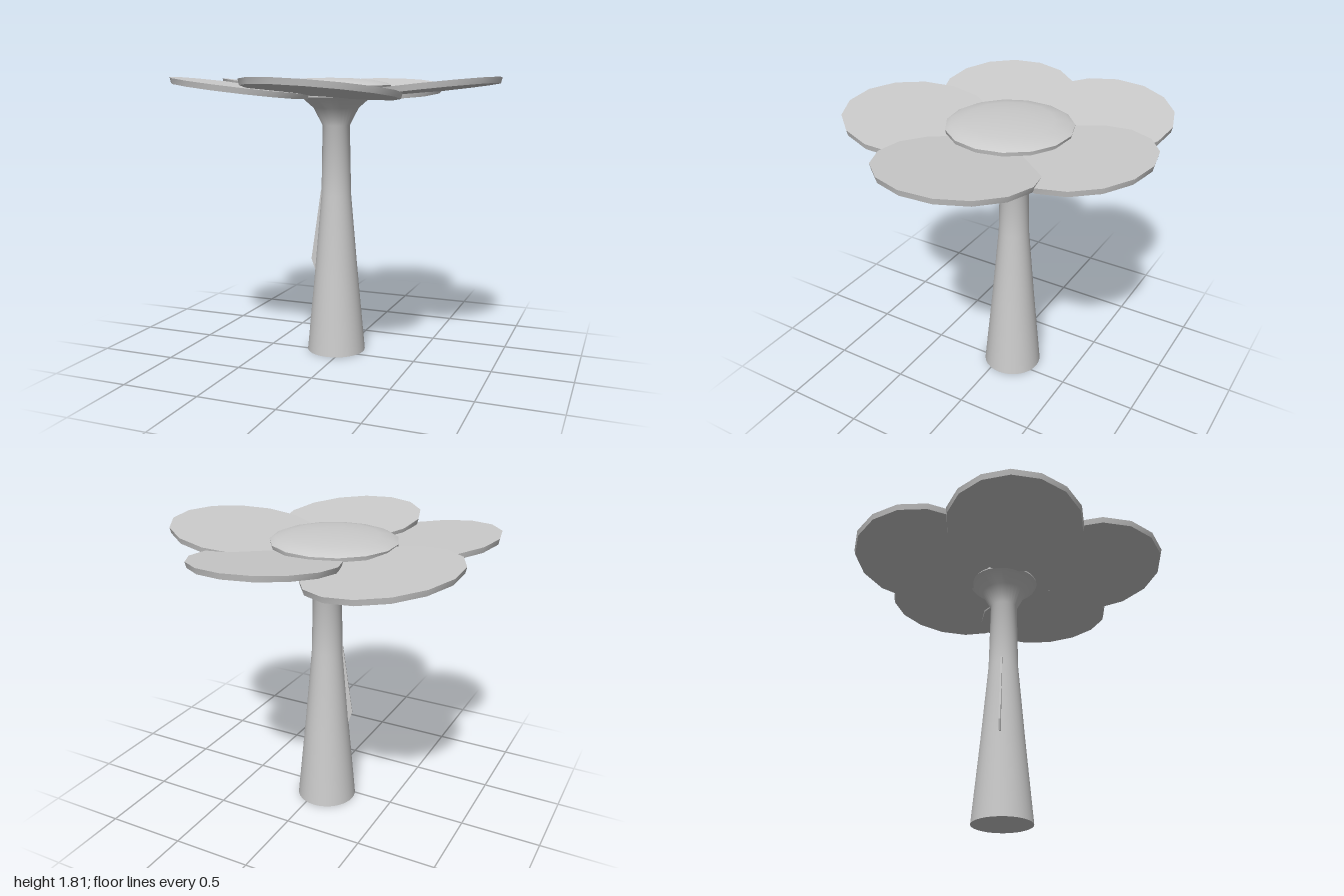
import * as THREE from 'three';
import { toCreasedNormals } from 'three/addons/utils/BufferGeometryUtils.js';

const material = new THREE.MeshStandardMaterial({ color: 0xcccccc });

function part(name, geometry, x, y, z) {
  const mesh = new THREE.Mesh(geometry, material);
  mesh.name = name;
  mesh.position.set(x, y, z);
  return mesh;
}

function lathe(profile, sides) {
  const points = profile.map(([r, y]) => new THREE.Vector2(r, y));
  return toCreasedNormals(new THREE.LatheGeometry(points, sides).rotateY(Math.PI / 2), 0.7);
}

// Thin 15-sided disc whose top passes through y = 0 with slopes sx and sz
function petalGeometry(radius, sx, sz, angle) {
  const thickness = 0.035;
  const g = new THREE.CylinderGeometry(radius, radius - 0.008, thickness, 15);
  g.rotateY(Math.PI / 2 - angle).translate(0, -thickness / 2, 0);
  const p = g.attributes.position;
  for (let i = 0; i < p.count; i++) {
    p.setY(i, p.getY(i) + sx * p.getX(i) + sz * p.getZ(i));
  }
  return toCreasedNormals(g, 0.7);
}

export function createModel() {
  const group = new THREE.Group();
  group.name = 'flowerTable';

  // Tapered stem with a flared collar below the petals
  group.add(part('stem', lathe([
    [0, 0], [0.192, 0], [0.14, 0.55], [0.097, 1.05], [0.088, 1.5],
    [0.145, 1.61], [0.225, 1.68], [0.225, 1.7], [0, 1.7],
  ], 32), -0.06, 0, -0.07));

  // Slim leaf-like ridge on the side of the stem
  const outline = new THREE.Shape([[0.1, 0.52], [0.142, 0.55], [0.165, 0.62], [0.1, 1.08], [0.08, 1.08]]
    .map(([r, y]) => new THREE.Vector2(r, y)));
  const ridge = new THREE.ExtrudeGeometry(outline, { depth: 0.012, bevelEnabled: false });
  ridge.translate(0, 0, -0.006).rotateY(Math.PI + 0.35);
  group.add(part('stemRidge', ridge, -0.06, 0, -0.07));

  // Overlapping petals: name, x, y, z, radius, slope along x, slope along z, corner angle
  const petals = [
    ['petalLeft', 0.53, 1.755, -0.05, 0.468, 0.11, 0.012, 0.1],
    ['petalFront', 0.08, 1.752, 0.53, 0.463, -0.05, 0.1, Math.PI / 2 + 0.21],
    ['petalFrontRight', -0.568, 1.755, 0.27, 0.435, -0.115, 0.03, Math.PI],
    ['petalBackRight', -0.562, 1.74, -0.405, 0.448, -0.12, 0.05, Math.PI + 0.21],
    ['petalBack', 0.077, 1.75, -0.56, 0.435, -0.03, -0.11, -Math.PI / 2],
  ];
  for (const [name, x, y, z, radius, sx, sz, angle] of petals) {
    group.add(part(name, petalGeometry(radius, sx, sz, angle), x, y, z));
  }

  // Shallow domed centre
  group.add(part('centreDome', lathe([
    [0, 0], [0.385, 0], [0.39, 0.025], [0.36, 0.04], [0.27, 0.058], [0.14, 0.068], [0, 0.071],
  ], 15), -0.083, 1.73, -0.023));

  return group;
}
